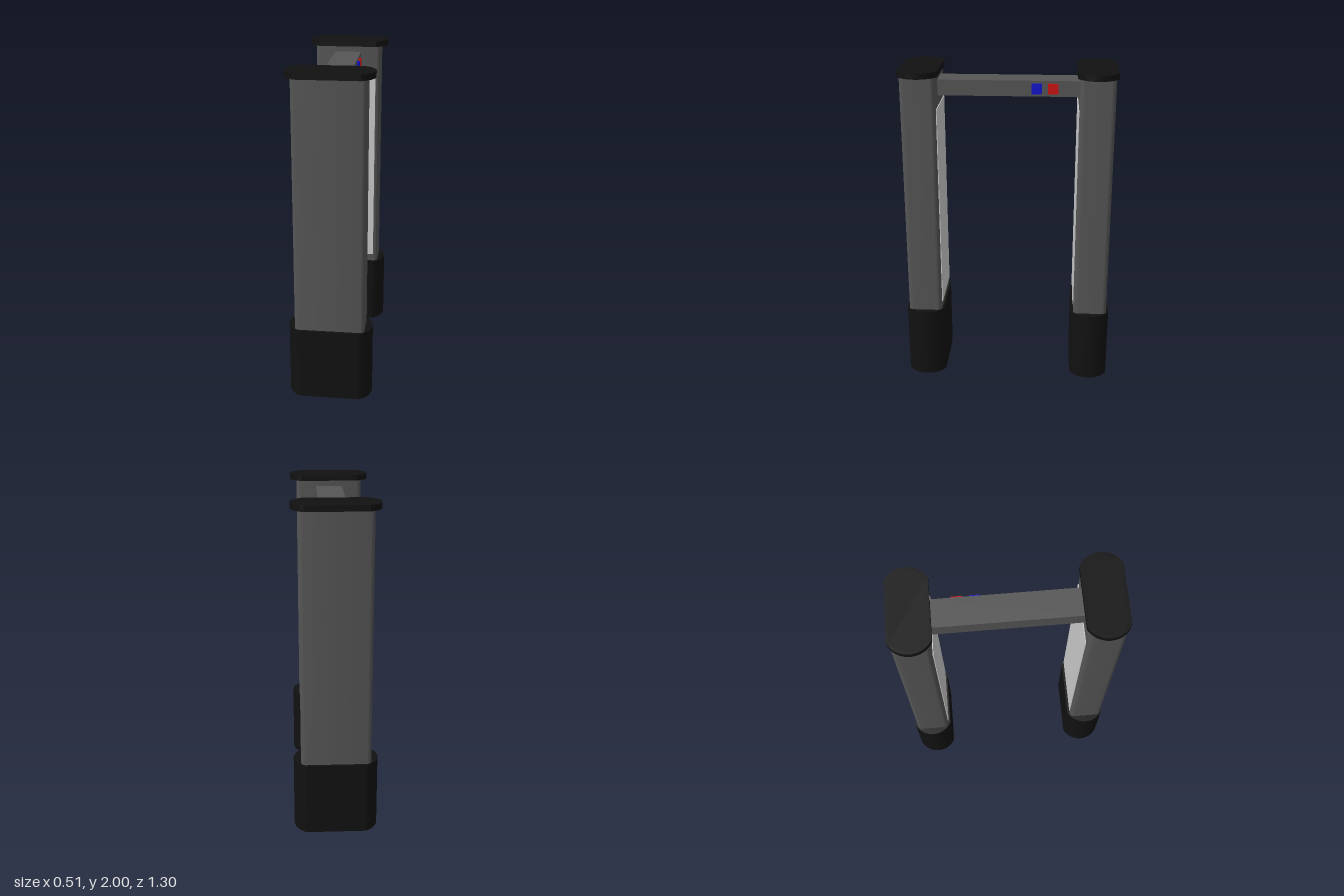
import * as THREE from 'three';
import { toCreasedNormals } from 'three/addons/utils/BufferGeometryUtils.js';

const paint = (color) => new THREE.MeshStandardMaterial({ color });
const black = paint(0x111111);
const darkGrey = paint(0x555555);
const lightGrey = paint(0xcccccc);
const blue = paint(0x1111cc);
const red = paint(0xcc1111);

const POST_Z = 0.53;

// Plan outline with straight long sides and bowed ends
function bowedOutline(flat, tip, depth) {
  const sag = tip - flat;
  const r = (depth * depth + sag * sag) / (2 * sag);
  const c = tip - r;
  const a = Math.asin(depth / r);
  const s = new THREE.Shape();
  s.absarc(c, 0, r, -a, a, false);
  s.absarc(-c, 0, r, Math.PI - a, Math.PI + a, false);
  s.closePath();
  return s;
}

// Plan outline of a rectangle with rounded corners
function roundedOutline(w, d, r) {
  const s = new THREE.Shape();
  s.absarc(w - r, d - r, r, 0, Math.PI / 2, false);
  s.absarc(-w + r, d - r, r, Math.PI / 2, Math.PI, false);
  s.absarc(-w + r, -d + r, r, Math.PI, Math.PI * 1.5, false);
  s.absarc(w - r, -d + r, r, Math.PI * 1.5, Math.PI * 2, false);
  s.closePath();
  return s;
}

// Stands a plan outline upright between two heights
function upright(name, outline, y0, y1, material) {
  const raw = new THREE.ExtrudeGeometry(outline, { depth: y1 - y0, bevelEnabled: false, curveSegments: 16 });
  raw.rotateX(-Math.PI / 2);
  const mesh = new THREE.Mesh(toCreasedNormals(raw, 0.5), material);
  mesh.name = name;
  mesh.position.y = y0;
  return mesh;
}

function box(name, size, position, material) {
  const mesh = new THREE.Mesh(new THREE.BoxGeometry(...size), material);
  mesh.name = name;
  mesh.position.set(...position);
  return mesh;
}

// One side post; its inner face points to -z
function createPost(name) {
  const post = new THREE.Group();
  post.name = name;
  const sleeve = bowedOutline(0.18, 0.254, 0.12);
  post.add(
    upright('base', sleeve, 0, 0.45, black),
    upright('column', roundedOutline(0.21, 0.106, 0.03), 0.45, 1.965, darkGrey),
    upright('cap', sleeve, 1.965, 2, black),
    box('innerPanel', [0.36, 1.27, 0.01], [0, 1.135, -0.106], lightGrey)
  );
  return post;
}

export function createModel() {
  const model = new THREE.Group();
  model.name = 'walkThroughGate';

  const frontPost = createPost('frontPost');
  frontPost.position.z = POST_Z;
  const backPost = createPost('backPost');
  backPost.position.z = -POST_Z;
  backPost.rotation.y = Math.PI;
  model.add(frontPost, backPost);

  // Crossbeam with its two indicator lights
  model.add(
    box('crossbeam', [0.168, 0.095, 0.86], [0, 1.882, 0], darkGrey),
    box('blueLight', [0.03, 0.062, 0.062], [0.082, 1.882, -0.169], blue),
    box('redLight', [0.03, 0.062, 0.062], [0.082, 1.882, -0.268], red)
  );
  return model;
}
